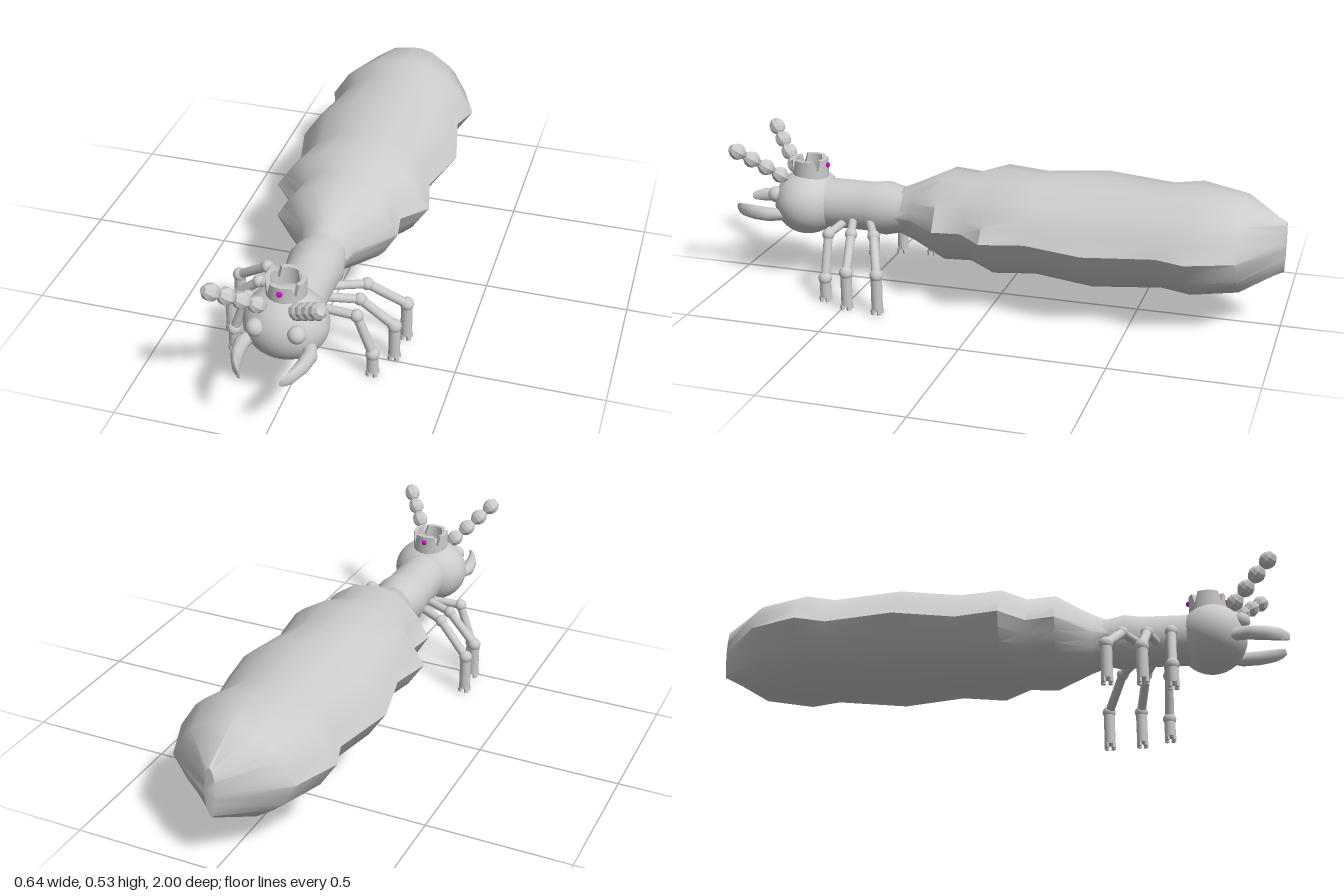
import * as THREE from 'three';
import { mergeVertices, toCreasedNormals } from 'three/addons/utils/BufferGeometryUtils.js';

const grey = new THREE.MeshStandardMaterial({ color: 0xcccccc });
const flat = new THREE.MeshStandardMaterial({ color: 0xcccccc, flatShading: true });
const gemMat = new THREE.MeshStandardMaterial({ color: 0xdd00cc });

function add(parent, name, geo, mat = grey, pos = [0, 0, 0]) {
  const m = new THREE.Mesh(geo, mat);
  m.name = name;
  m.position.set(...pos);
  parent.add(m);
  return m;
}

// Skin rings of equal point count, closing both ends (rings run counterclockwise toward the last ring)
function loft(rings, crease) {
  const n = rings[0].length, pos = [], idx = [];
  rings.forEach(r => r.forEach(p => pos.push(...p)));
  for (let i = 0; i < rings.length - 1; i++) {
    for (let j = 0; j < n; j++) {
      const k = (j + 1) % n, a = i * n + j, b = i * n + k;
      idx.push(a, b, a + n, b, b + n, a + n);
    }
  }
  const last = (rings.length - 1) * n;
  for (let j = 1; j < n - 1; j++) idx.push(0, j + 1, j, last, last + j, last + j + 1);
  const g = new THREE.BufferGeometry();
  g.setAttribute('position', new THREE.Float32BufferAttribute(pos, 3));
  g.setIndex(idx);
  return toCreasedNormals(g, crease);
}

function ellipse(x, y, z, rx, ry, n) {
  return Array.from({ length: n }, (_, j) => {
    const a = j / n * Math.PI * 2;
    return [x + rx * Math.cos(a), y + ry * Math.sin(a), z];
  });
}

// Cylinder between two points
function rod(parent, name, a, b, r1, r2 = r1) {
  const A = new THREE.Vector3(...a), B = new THREE.Vector3(...b), d = B.clone().sub(A);
  const m = add(parent, name, new THREE.CylinderGeometry(r2, r1, d.length(), 16));
  m.position.copy(A).add(B).multiplyScalar(0.5);
  m.quaternion.setFromUnitVectors(new THREE.Vector3(0, 1, 0), d.normalize());
  return m;
}

// Swollen abdomen: ridged section, scaled along z as [z, half width, top, bottom]
function abdomen() {
  const quarter = [[1, 0], [0.89, 0.25], [0.79, 0.48], [0.67, 0.64], [0.36, 0.92]];
  const upper = [...quarter, [0, 1], ...quarter.slice(1).reverse().map(([x, y]) => [-x, y])];
  const section = [...upper, ...upper.map(([x, y]) => [-x, -y])];
  const stations = [
    [-1, 0.022, 0.38, 0.20], [-0.86, 0.215, 0.455, 0.125], [-0.70, 0.28, 0.48, 0.105],
    [-0.60, 0.245, 0.467, 0.115], [-0.36, 0.295, 0.484, 0.097], [-0.15, 0.245, 0.467, 0.115],
    [0, 0.28, 0.475, 0.105], [0.09, 0.2, 0.447, 0.133], [0.19, 0.217, 0.453, 0.13],
    [0.31, 0.105, 0.395, 0.175], [0.37, 0.088, 0.368, 0.198],
  ];
  return loft(stations.map(([z, w, t, b]) =>
    section.map(([x, y]) => [x * w, (t + b) / 2 + y * (t - b) / 2, z])), 0.8);
}

// Crown wall with four tapered teeth
function crown() {
  const teeth = 4, rOut = 0.066, rIn = 0.05, base = -0.03, low = 0.012, high = 0.05;
  const rings = [];
  for (let i = 0; i < teeth; i++) {
    for (const [o, h] of [[-44, low], [-33, high], [-16, high], [0, high], [16, high], [33, high], [44, low]]) {
      const a = (i * 90 + o) * Math.PI / 180, s = Math.sin(a), c = Math.cos(a);
      rings.push([[rOut, base], [rOut, h], [rIn, h], [rIn, base]].map(([r, y]) => [r * s, y, r * c]));
    }
  }
  rings.push(rings[0]);
  return loft(rings.map(r => r.slice().reverse()).reverse().map(r => r.slice().reverse()), 0.5);
}

function leg(s, name, [hip, knee, ankle]) {
  const g = new THREE.Group();
  g.name = name;
  const [h, k, a] = [hip, knee, ankle].map(([x, y, z]) => [x * s, y, z]);
  rod(g, 'thigh', h, k, 0.015);
  rod(g, 'shin', k, a, 0.016);
  rod(g, 'foot', a, [a[0], 0.016, a[2]], 0.02);
  add(g, 'knee', new THREE.SphereGeometry(0.022, 16, 12), grey, k);
  add(g, 'ankle', new THREE.SphereGeometry(0.024, 16, 12), grey, a);
  for (let i = 0; i < 4; i++) {
    const t = i * Math.PI / 2 + Math.PI / 4;
    const claw = add(g, 'claw', new THREE.BoxGeometry(0.014, 0.018, 0.01), grey,
      [a[0] + 0.017 * Math.sin(t), 0.009, a[2] + 0.017 * Math.cos(t)]);
    claw.rotation.y = t;
  }
  return g;
}

// Row of faceted barrel beads
function antenna(s) {
  const g = new THREE.Group();
  g.name = 'antenna';
  const dir = new THREE.Vector3(0.034 * s, 0.036, 0.038).normalize();
  const profile = [[0, -0.03], [0.014, -0.03], [0.026, -0.015], [0.03, 0], [0.026, 0.015], [0.014, 0.03], [0, 0.03]];
  const bead = new THREE.LatheGeometry(profile.map(p => new THREE.Vector2(...p)), 8);
  for (let i = 0; i < 4; i++) {
    const m = add(g, 'antennaBead', bead, flat,
      [s * (0.066 + 0.034 * i), 0.395 + 0.036 * i, 0.82 + 0.038 * i]);
    m.quaternion.setFromUnitVectors(new THREE.Vector3(0, 1, 0), dir);
  }
  return g;
}

export function createModel() {
  const model = new THREE.Group();
  model.name = 'crownedInsect';

  add(model, 'abdomen', abdomen());
  const thorax = [[0.33, 0.086], [0.37, 0.084], [0.43, 0.098], [0.49, 0.09], [0.55, 0.09], [0.66, 0.09]];
  add(model, 'thorax', loft(thorax.map(([z, r]) => ellipse(0, 0.285, z, r, r, 24)), 0.8));

  const head = add(model, 'head', new THREE.SphereGeometry(1, 40, 28), grey, [0, 0.285, 0.738]);
  head.scale.set(0.14, 0.121, 0.123);

  // Crown with a gem on the front and back teeth
  add(model, 'crown', crown(), new THREE.MeshStandardMaterial({ color: 0xcccccc, side: THREE.DoubleSide }), [0, 0.4, 0.728]);
  for (const s of [-1, 1]) {
    add(model, 'gem', new THREE.SphereGeometry(0.01, 12, 8), gemMat, [0, 0.428, 0.728 + s * 0.066]);
  }

  // Hip, knee and ankle of each leg pair
  const legs = {
    frontLeg: [[0.07, 0.235, 0.58], [0.187, 0.233, 0.587], [0.24, 0.085, 0.583]],
    middleLeg: [[0.07, 0.25, 0.455], [0.175, 0.238, 0.505], [0.287, 0.135, 0.483]],
    backLeg: [[0.07, 0.25, 0.45], [0.175, 0.24, 0.42], [0.298, 0.143, 0.365]],
  };
  legs.backLeg[0][2] = 0.475;
  legs.middleLeg[0][2] = 0.54;

  // Mandible stations: x, z, half width, half height
  const jaw = [[0.095, 0.79, 0.022, 0.02], [0.112, 0.85, 0.025, 0.025], [0.105, 0.91, 0.021, 0.026],
    [0.088, 0.965, 0.013, 0.024], [0.072, 0.99, 0.006, 0.018], [0.064, 1, 0.002, 0.01]];

  for (const s of [-1, 1]) {
    const side = s > 0 ? 'left' : 'right';
    for (const [name, joints] of Object.entries(legs)) {
      model.add(leg(s, side + name[0].toUpperCase() + name.slice(1), joints));
    }
    model.add(antenna(s));
    add(model, side + 'Eye', new THREE.SphereGeometry(0.03, 20, 14), grey, [s * 0.068, 0.32, 0.838]);
    add(model, side + 'Mandible', loft(jaw.map(([x, z, rx, ry]) =>
      ellipse(s * x, 0.255, z, rx, ry, 10)), 0.9));
  }
  return model;
}
